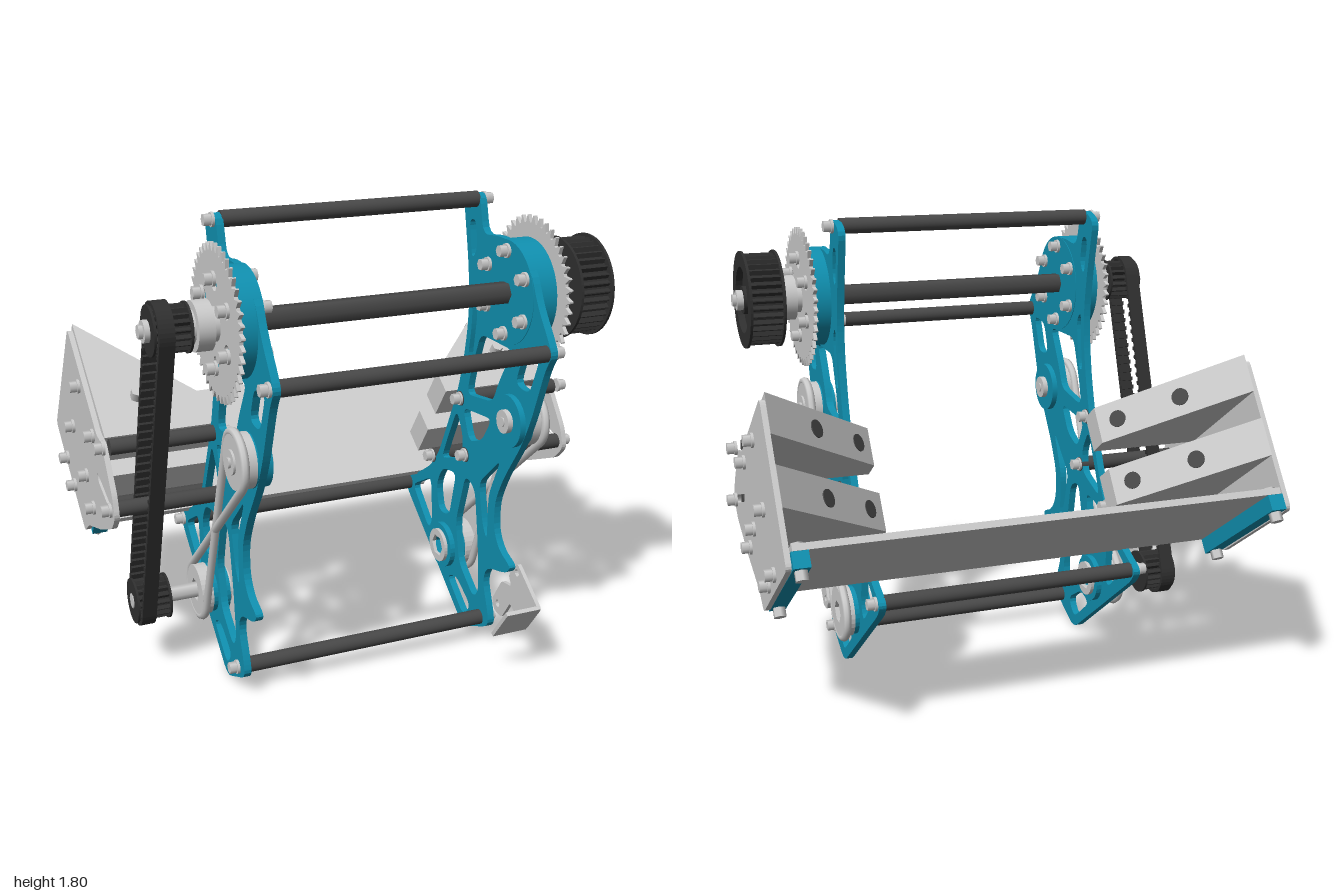
import * as THREE from 'three';

const mat = (color) => new THREE.MeshStandardMaterial({ color });
const GREY = mat(0xcccccc), TEAL = mat(0x1090b0), DARK = mat(0x484848), BLACK = mat(0x303030);
const SIDES = [1, -1];
const HUB = [0.436, 1.484], UPPER = [0.52, 1.015], LOWER = [0.02, 0.3]; // shaft centres as [z, y]

export function createModel() {
  const model = new THREE.Group();
  const add = (name, geo, material = GREY, parent = model) => {
    const m = new THREE.Mesh(geo, material);
    m.name = name;
    parent.add(m);
    return m;
  };

  // ---- helpers: profiles are drawn as [z, y] and run along x ----
  const trace = (path, pts, r) => {
    const v = pts.map((p) => new THREE.Vector2(...p)), n = v.length;
    v.forEach((p, i) => {
      const cut = (q) => p.clone().lerp(q, Math.min(0.45, r / p.distanceTo(q)));
      const a = cut(v[(i + n - 1) % n]), b = cut(v[(i + 1) % n]);
      if (i) path.lineTo(a.x, a.y); else path.moveTo(a.x, a.y);
      path.quadraticCurveTo(p.x, p.y, b.x, b.y);
    });
    path.closePath();
    return path;
  };
  const circle = ([z, y], r, n = 24, start = 0) => Array.from({ length: n }, (_, i) => {
    const a = start + i / n * Math.PI * 2;
    return [z + r * Math.cos(a), y + r * Math.sin(a)];
  });
  const poly = (pts, Type = THREE.Shape) => new Type(pts.map((p) => new THREE.Vector2(...p)));
  const prism = (shape, cx, depth) =>
    new THREE.ExtrudeGeometry(shape, { depth, bevelEnabled: false, curveSegments: 4 })
      .rotateY(-Math.PI / 2).translate(cx + depth / 2, 0, 0);
  const rod = (name, [z, y], r, x0, x1, material = GREY, sides = 24, parent = model) =>
    add(name, new THREE.CylinderGeometry(r, r, Math.abs(x1 - x0), sides)
      .rotateZ(Math.PI / 2).translate((x0 + x1) / 2, y, z), material, parent);
  const bolt = (s, x, c) => {
    rod('boltWasher', c, 0.027, s * x, s * (x + 0.01), GREY, 16);
    rod('boltHead', c, 0.022, s * x, s * (x + 0.037), GREY, 6);
  };
  const gear = (c, r, depth, n) => Array.from({ length: n * 4 }, (_, i) => {
    const a = (i + (i % 4 === 1 ? 0.25 : i % 4 === 2 ? -0.25 : 0)) / (n * 4) * Math.PI * 2;
    const R = i % 4 === 1 || i % 4 === 2 ? r : r - depth;
    return [c[0] + R * Math.cos(a), c[1] + R * Math.sin(a)];
  });
  // belt path round two equal pulleys, open or crossed
  const beltPath = (A, B, r, crossed) => {
    const dz = B[0] - A[0], dy = B[1] - A[1], phi = Math.atan2(dy, dz);
    const al = crossed ? Math.acos(2 * r / Math.hypot(dz, dy)) : Math.PI / 2;
    const arc = (c, a0, a1) => Array.from({ length: 21 }, (_, i) => {
      const a = phi + a0 + (a1 - a0) * i / 20;
      return [c[0] + r * Math.cos(a), c[1] + r * Math.sin(a)];
    });
    const a = arc(A, al, 2 * Math.PI - al);
    const b = crossed ? arc(B, Math.PI - al, al - Math.PI) : arc(B, -al, al);
    const run = (p, q) => [0.1, 0.3, 0.5, 0.7, 0.9].map((t) => [p[0] + (q[0] - p[0]) * t, p[1] + (q[1] - p[1]) * t]);
    return [...a, ...run(a[20], b[0]), ...b, ...run(b[20], a[0])];
  };

  // ---- openwork side plates ----
  const outline = [[0.21, 1.82], [0.09, 1.78], [0.11, 1.69], [0.14, 1.55], [0.16, 1.41], [0.155, 1.28],
    [0.13, 1.14], [0.09, 1.0], [0.02, 0.85], [-0.06, 0.68], [-0.13, 0.6], [-0.27, 0.51], [-0.37, 0.47],
    [-0.35, 0.42], [0.2, 0], [0.41, 0.1], [0.4, 0.16], [0.35, 0.28], [0.38, 0.35], [0.53, 0.39], [0.56, 0.43],
    [0.47, 0.46], [0.42, 0.53], [0.42, 0.65], [0.48, 0.77], [0.59, 0.93], [0.65, 1.05], [0.69, 1.16],
    [0.73, 1.27], [0.77, 1.33], [0.73, 1.39], [0.66, 1.48], [0.6, 1.6], [0.5, 1.67], [0.36, 1.68], [0.25, 1.66]];
  const openings = [
    [[0.19, 1.71], [0.14, 1.7], [0.17, 1.55], [0.21, 1.6]],
    [[0.23, 1.36], [0.19, 1.4], [0.185, 1.28], [0.165, 1.16], [0.2, 1.16]],
    [[0.58, 1.29], [0.69, 1.3], [0.63, 1.15], [0.53, 1.16]],
    [[0.5, 1.28], [0.26, 1.28], [0.19, 1.1], [0.17, 1.01], [0.37, 1.04], [0.41, 1.13]],
    [[0.37, 0.97], [0.14, 0.945], [0.2, 0.82], [0.3, 0.86]],
    [[0.09, 0.92], [0.02, 0.78], [-0.03, 0.67], [0.14, 0.73], [0.15, 0.82]],
    [[0.45, 0.83], [0.29, 0.68], [0.33, 0.52], [0.37, 0.46], [0.37, 0.66]],
    [[0.26, 0.64], [0.18, 0.67], [0.11, 0.44], [0.15, 0.27], [0.28, 0.17], [0.32, 0.22], [0.3, 0.42]],
    [[0.26, 0.12], [0.2, 0.05], [0.05, 0.17], [0.13, 0.2]],
    [[-0.12, 0.55], [-0.29, 0.455], [-0.13, 0.31], [-0.1, 0.36]],
    [[0.1, 0.65], [-0.02, 0.63], [-0.07, 0.54], [-0.04, 0.43], [0.05, 0.44]]];
  const frame = trace(new THREE.Shape(), outline, 0.05);
  frame.holes = openings.map((h) => trace(new THREE.Path(), h, 0.04));
  for (const s of SIDES) add('sidePlate', prism(frame, s * 0.516, 0.028), TEAL);

  // ---- cross bars and hexagonal main axle ----
  for (const c of [[0.185, 1.785], [0.73, 1.33], [0.335, 0.11], [-0.325, 0.455]]) {
    rod('crossBar', c, 0.03, -0.505, 0.505, DARK);
    for (const s of SIDES) bolt(s, 0.53, c);
  }
  rod('mainAxle', HUB, 0.042, -0.6, 0.6, DARK, 6);
  rod('axleShaft', HUB, 0.025, -0.88, 0.88, GREY, 6);

  // ---- sprockets, hubs, rollers and crossed round belts ----
  const sprocket = poly(gear(HUB, 0.275, 0.028, 42));
  sprocket.holes = circle(HUB, 0.14, 6, Math.PI / 6).map((c) => poly(circle(c, 0.028, 12), THREE.Path));
  const hexRing = (r) => {
    const s = poly(circle(LOWER, r, 32));
    s.holes = [poly(circle(LOWER, 0.045, 6), THREE.Path)];
    return s;
  };
  for (const s of SIDES) {
    rod('hubDrum', HUB, 0.195, s * 0.5, s * 0.597, TEAL, 48);
    add('sprocket', prism(sprocket, s * 0.606, 0.014));
    for (const c of circle(HUB, 0.155, 6, Math.PI / 2)) {
      bolt(s, 0.613, c);
      bolt(-s, -0.5, c);
    }
    rod('axleCollar', HUB, 0.06, s * 0.61, s * 0.71);
    rod('axleCollarFlange', HUB, 0.088, s * 0.637, s * 0.695, GREY, 32);
    rod('axleNut', HUB, 0.04, s * 0.84, s * 0.865, GREY, 12);

    rod('upperBearing', UPPER, 0.1, s * 0.48, s * 0.535, TEAL, 32);
    rod('upperRoller', UPPER, 0.1, s * 0.535, s * 0.595, GREY, 32);
    rod('upperRollerHub', UPPER, 0.045, s * 0.46, s * 0.603, GREY, 20);
    rod('upperRollerBolt', UPPER, 0.02, s * 0.455, s * 0.612, GREY, 6);
    add('lowerBearing', prism(hexRing(0.095), s * 0.515, 0.07), TEAL);
    add('lowerRoller', prism(hexRing(0.1), s * 0.572, 0.046));
    add('lowerInnerRing', prism(hexRing(0.07), s * 0.476, 0.02));

    const path = beltPath(UPPER, LOWER, 0.105, true).map(([z, y]) => new THREE.Vector3(s * 0.582, y, z));
    add('crossedBelt', new THREE.TubeGeometry(new THREE.CatmullRomCurve3(path, true), 160, 0.016, 8, true));
  }

  // ---- large toothed pulley on the left, with recessed face ----
  const rim = poly(gear(HUB, 0.18, 0.016, 36));
  rim.holes = [poly(circle(HUB, 0.13, 40), THREE.Path)];
  add('largePulleyRim', prism(rim, 0.772, 0.13), BLACK);
  rod('largePulleyWeb', HUB, 0.132, 0.72, 0.815, BLACK, 40);
  rod('largePulleyHub', HUB, 0.055, 0.7, 0.84, BLACK, 24);
  const flange = poly(circle(HUB, 0.19, 48));
  flange.holes = [poly(circle(HUB, 0.13, 40), THREE.Path)];
  for (const x of [0.708, 0.837]) add('largePulleyFlange', prism(flange, x, 0.01), BLACK);

  // ---- small pulleys and toothed drive belt on the right ----
  for (const c of [HUB, LOWER]) {
    add('smallPulley', prism(poly(gear(c, 0.082, 0.014, 18)), -0.775, 0.12), BLACK);
    for (const x of [-0.842, -0.715]) rod('smallPulleyFlange', c, 0.088, x - 0.004, x + 0.004, BLACK, 32);
    if (c === LOWER) rod('lowerPulleyShaft', c, 0.03, -0.85, -0.5, GREY, 6);
  }
  const belt = poly(beltPath(HUB, LOWER, 0.099, false));
  belt.holes = [poly(beltPath(HUB, LOWER, 0.086, false), THREE.Path)];
  add('driveBelt', prism(belt, -0.806, 0.055), BLACK);
  const run = Math.atan2(LOWER[1] - HUB[1], LOWER[0] - HUB[0]);
  for (const side of SIDES) for (let i = 0; i < 34; i++) {
    const t = (i + 0.5) / 34, r = side * 0.082;
    add('beltTooth', new THREE.BoxGeometry(0.055, 0.016, 0.016).rotateX(-run).translate(-0.806,
      HUB[1] + (LOWER[1] - HUB[1]) * t + r * Math.cos(run),
      HUB[0] + (LOWER[0] - HUB[0]) * t - r * Math.sin(run)), BLACK);
  }

  // ---- outer mounting plates, standoffs and their bolts ----
  const mountPlate = trace(new THREE.Shape(), [[-0.405, 1.285], [-0.755, 0.79], [-0.31, 0.475], [-0.235, 0.53],
    [-0.02, 0.6], [0.17, 0.68], [0.225, 0.74], [0.2, 0.82], [0.08, 0.98], [0, 0.99], [-0.05, 1.03]], 0.025);
  mountPlate.holes = [trace(new THREE.Path(), [[0.19, 0.735], [0.18, 0.77], [-0.02, 0.835], [-0.01, 0.8]], 0.02)];
  for (const s of SIDES) {
    add('mountPlate', prism(mountPlate, s * 0.933, 0.02));
    for (const c of [[0.115, 0.976], [0.17, 0.755], [-0.11, 0.655]]) {
      rod('standoff', c, 0.03, s * 0.5, s * 0.923, DARK);
      bolt(s, 0.943, c);
      bolt(-s, -0.502, c);
    }
    for (const c of [[-0.25, 1.1], [-0.053, 0.966], [-0.4, 0.89], [-0.2, 0.755], [-0.55, 0.705], [-0.44, 0.625]])
      bolt(s, 0.943, c);
  }

  // ---- tilted rear assembly: panel, end strips and corner gussets ----
  const rear = new THREE.Group();
  rear.name = 'rearAssembly';
  rear.rotation.x = 0.61;
  model.add(rear);
  add('rearPanel', new THREE.BoxGeometry(1.83, 0.025, 0.575).translate(0, 0.29, -0.79), GREY, rear);
  for (const s of SIDES) {
    add('endStrip', new THREE.BoxGeometry(0.06, 0.06, 0.575).translate(s * 0.89, 0.247, -0.79), TEAL, rear);
    for (const z of [-1.04, -0.54])
      add('stripBolt', new THREE.CylinderGeometry(0.024, 0.024, 0.13, 6).translate(s * 0.89, 0.247, z), GREY, rear);
    for (const top of [0.84, 0.58]) {
      const corner = poly([[s * 0.923, -0.525], [s * 0.47, -0.525], [s * 0.47, -0.625], [s * 0.923, -1.075]]);
      add('cornerGusset', new THREE.ExtrudeGeometry(corner, { depth: 0.15, bevelEnabled: false })
        .rotateX(Math.PI / 2).translate(0, top, 0), GREY, rear);
      // access holes on the slanted face
      for (const x of [0.53, 0.72])
        add('gussetHole', new THREE.CylinderGeometry(0.034, 0.034, 0.006, 20).rotateX(Math.PI / 2)
          .rotateY(s * Math.PI / 4).translate(s * x, top - 0.075, -0.625 - (x - 0.47)), DARK, rear);
    }
    add('gussetBolt', new THREE.CylinderGeometry(0.024, 0.024, 0.05, 6).translate(s * 0.765, 0.855, -0.69), GREY, rear);
  }

  // ---- angle bracket at the lower front, left side only ----
  const bracket = trace(new THREE.Shape(), [[0.55, 0.435], [0.49, 0.36], [0.515, 0.32], [0.44, 0.31], [0.37, 0.2],
    [0.39, 0.16], [0.45, 0.155], [0.51, 0.245], [0.615, 0.18], [0.715, 0.315]], 0.015);
  bracket.holes = [[0.55, 0.395], [0.415, 0.2]].map((c) => poly(circle(c, 0.015, 12), THREE.Path));
  add('bracketPlate', prism(bracket, 0.545, 0.015));
  add('bracketFlange', prism(poly([[0.715, 0.315], [0.615, 0.18], [0.602, 0.189], [0.702, 0.324]]), 0.478, 0.145));
  return model;
}
